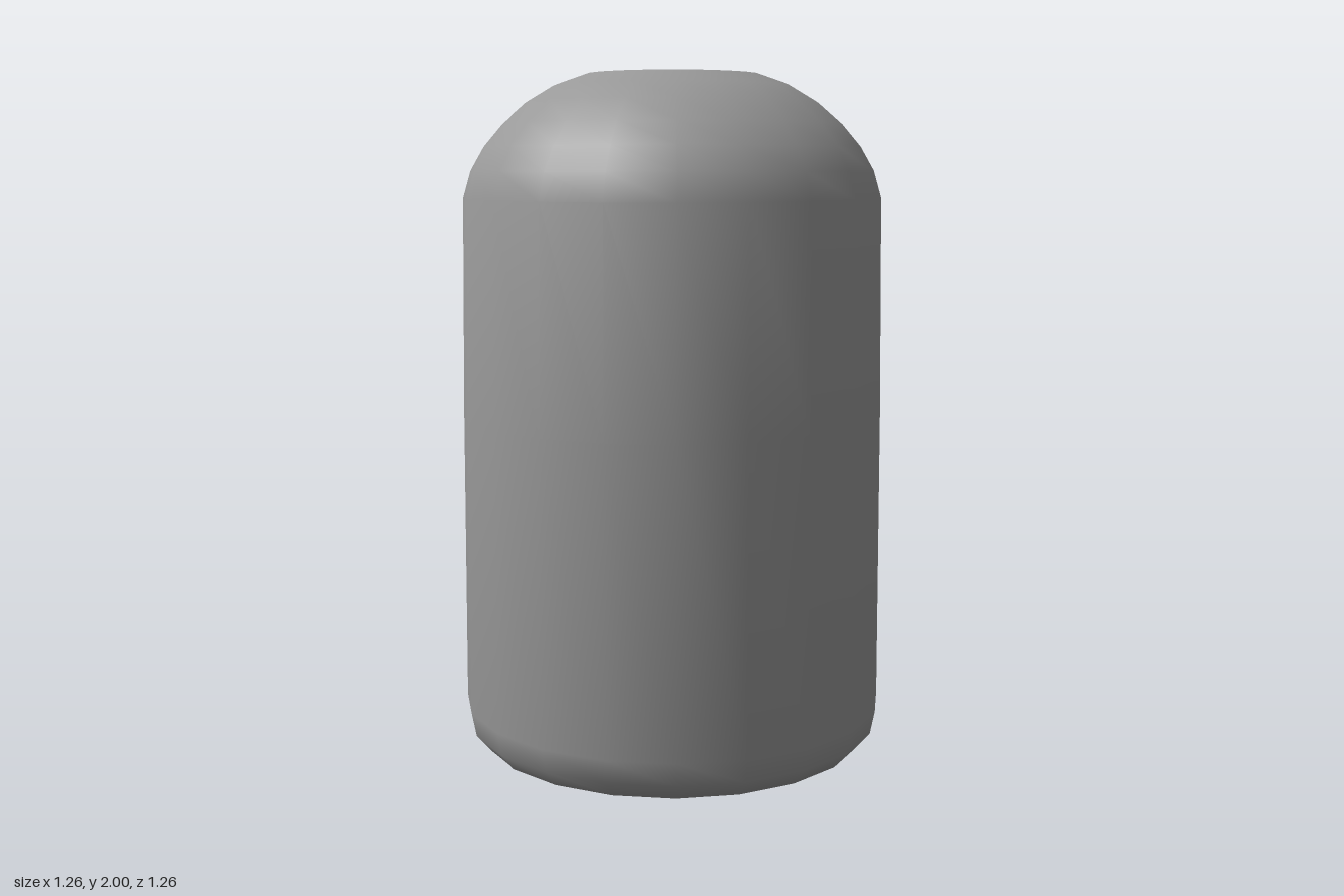
import * as THREE from 'three';

const SIDES = 20;
const TURN = THREE.MathUtils.degToRad(6.2); // facets sit slightly turned about the axis

// Lathe whose normals weigh neighbouring bands equally, so the base shades softly into the foot
function softLathe(profile) {
  const geometry = new THREE.LatheGeometry(profile, SIDES, TURN);
  const bands = profile.slice(1).map((p, i) => {
    const d = p.clone().sub(profile[i]).normalize();
    return new THREE.Vector2(d.y, -d.x);
  });
  const rings = profile.map((p, i) => {
    if (i === 0) return bands[0];
    return bands[i - 1].clone().add(bands[Math.min(i, bands.length - 1)]).normalize();
  });
  const normal = geometry.attributes.normal;
  for (let k = 0; k < normal.count; k++) {
    const n = rings[k % rings.length];
    const phi = TURN + (Math.floor(k / rings.length) / SIDES) * Math.PI * 2;
    normal.setXYZ(k, n.x * Math.sin(phi), n.y, n.x * Math.cos(phi));
  }
  return geometry;
}

export function createModel() {
  const group = new THREE.Group();
  group.name = 'vessel';

  // Thin hollow shell: closed base, bevelled foot, tapering wall, domed shoulder, open mouth
  const profile = [
    [0, 0], [0.575, 0], [0.618, 0.05], [0.632, 0.12],
    [0.628, 1.0], [0.62, 1.64],
    [0.597, 1.72], [0.557, 1.79], [0.502, 1.855], [0.43, 1.918], [0.35, 1.966], [0.253, 2],
  ].map(([r, y]) => new THREE.Vector2(r, y));

  const material = new THREE.MeshStandardMaterial({ color: 0x999999, side: THREE.DoubleSide });
  const shell = new THREE.Mesh(softLathe(profile), material);
  shell.name = 'shell';
  group.add(shell);
  return group;
}
